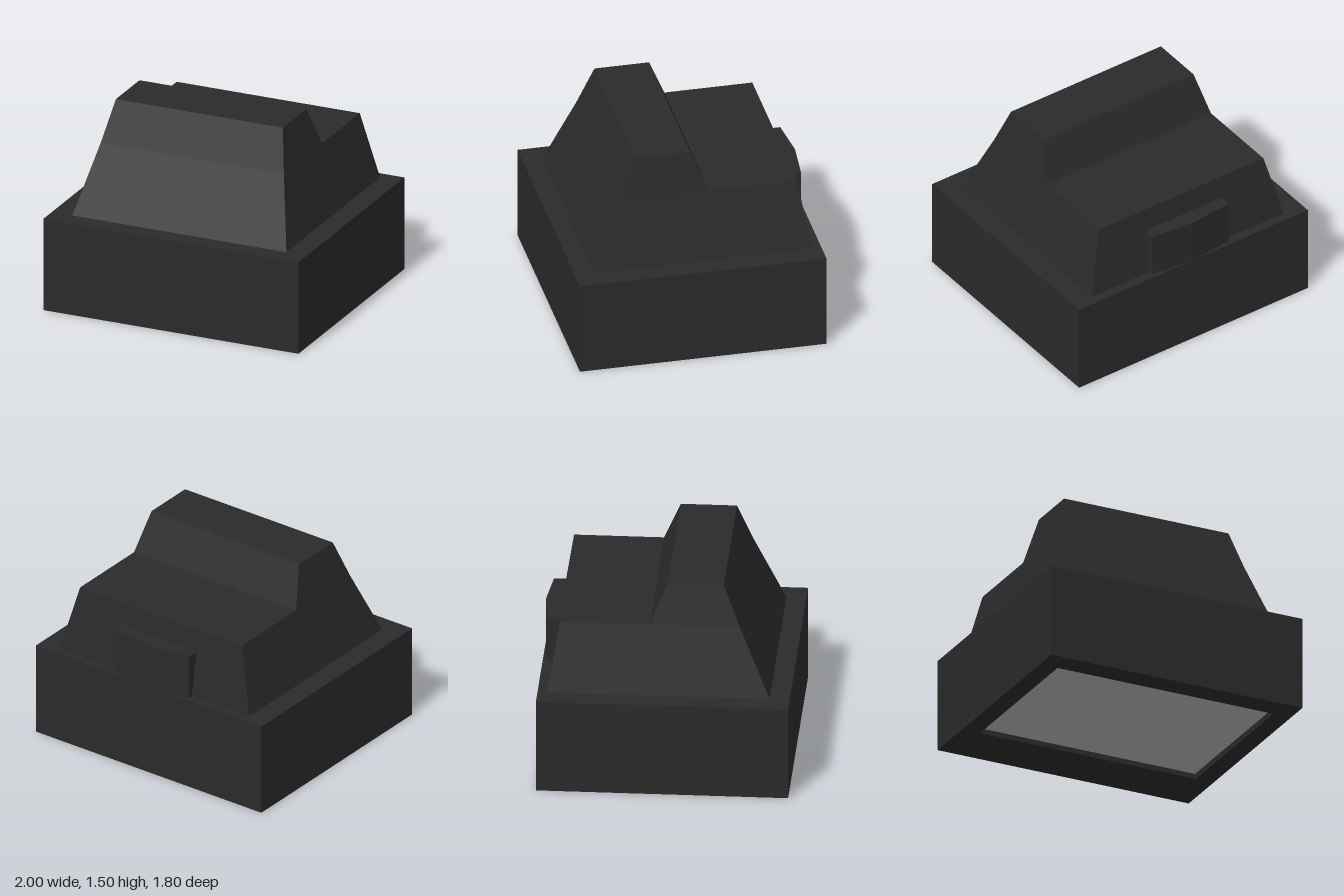
import * as THREE from 'three';

const bodyMat = new THREE.MeshStandardMaterial({ color: 0x2a2a2a });
bodyMat.name = 'charcoal';
const panelMat = new THREE.MeshStandardMaterial({ color: 0xb8b8b8 });
panelMat.name = 'light grey';

function add(group, name, geometry, material = bodyMat) {
  const mesh = new THREE.Mesh(geometry, material);
  mesh.name = name;
  group.add(mesh);
  return mesh;
}

// Box whose lower and upper rectangles differ: each is { y, x: halfWidth, back, front }
function frustum(lower, upper) {
  const geo = new THREE.BoxGeometry(2, 2, 2);
  const p = geo.attributes.position;
  for (let i = 0; i < p.count; i++) {
    const r = p.getY(i) > 0 ? upper : lower;
    p.setXYZ(i, Math.sign(p.getX(i)) * r.x, r.y, p.getZ(i) > 0 ? r.front : r.back);
  }
  geo.computeVertexNormals();
  return geo;
}

// Extrude points given as [x, z] upward from y0 by height
function upright(points, hole, y0, height) {
  const toVec = ([x, z]) => new THREE.Vector2(x, -z);
  const shape = new THREE.Shape(points.map(toVec));
  if (hole) shape.holes.push(new THREE.Path(hole.map(toVec)));
  const geo = new THREE.ExtrudeGeometry(shape, { depth: height, bevelEnabled: false });
  return geo.rotateX(-Math.PI / 2).translate(0, y0, 0);
}

const rect = (x, back, front) => [[-x, front], [x, front], [x, back], [-x, back]];

export function createModel() {
  const model = new THREE.Group();
  model.name = 'steppedHousing';
  const recess = 0.04;

  // Base block with a shallow opening underneath
  add(model, 'baseRim', upright(rect(1, -0.9, 0.9), rect(0.86, -0.51, 0.72), 0, recess));
  add(model, 'base', new THREE.BoxGeometry(2, 0.7 - recess, 1.8)).position.y = (0.7 + recess) / 2;
  add(model, 'bottomPanel', new THREE.BoxGeometry(1.7, 0.008, 1.21), panelMat)
    .position.set(0, recess - 0.002, 0.105);

  // Tapered cover: wide lower part and a raised ridge at the front
  add(model, 'lowerCover', frustum(
    { y: 0.7, x: 0.84, back: -0.83, front: 0.757 },
    { y: 1.2, x: 0.718, back: -0.75, front: 0.537 }));
  add(model, 'upperRidge', frustum(
    { y: 1.2, x: 0.718, back: -0.108, front: 0.537 },
    { y: 1.5, x: 0.655, back: 0.017, front: 0.417 }));

  // Rear tab with a shallow pointed back
  add(model, 'rearTab', upright(
    [[-0.333, -0.776], [0.333, -0.776], [0.333, -0.866], [0, -0.899], [-0.333, -0.866]],
    null, 0.7, 0.335));

  return model;
}
